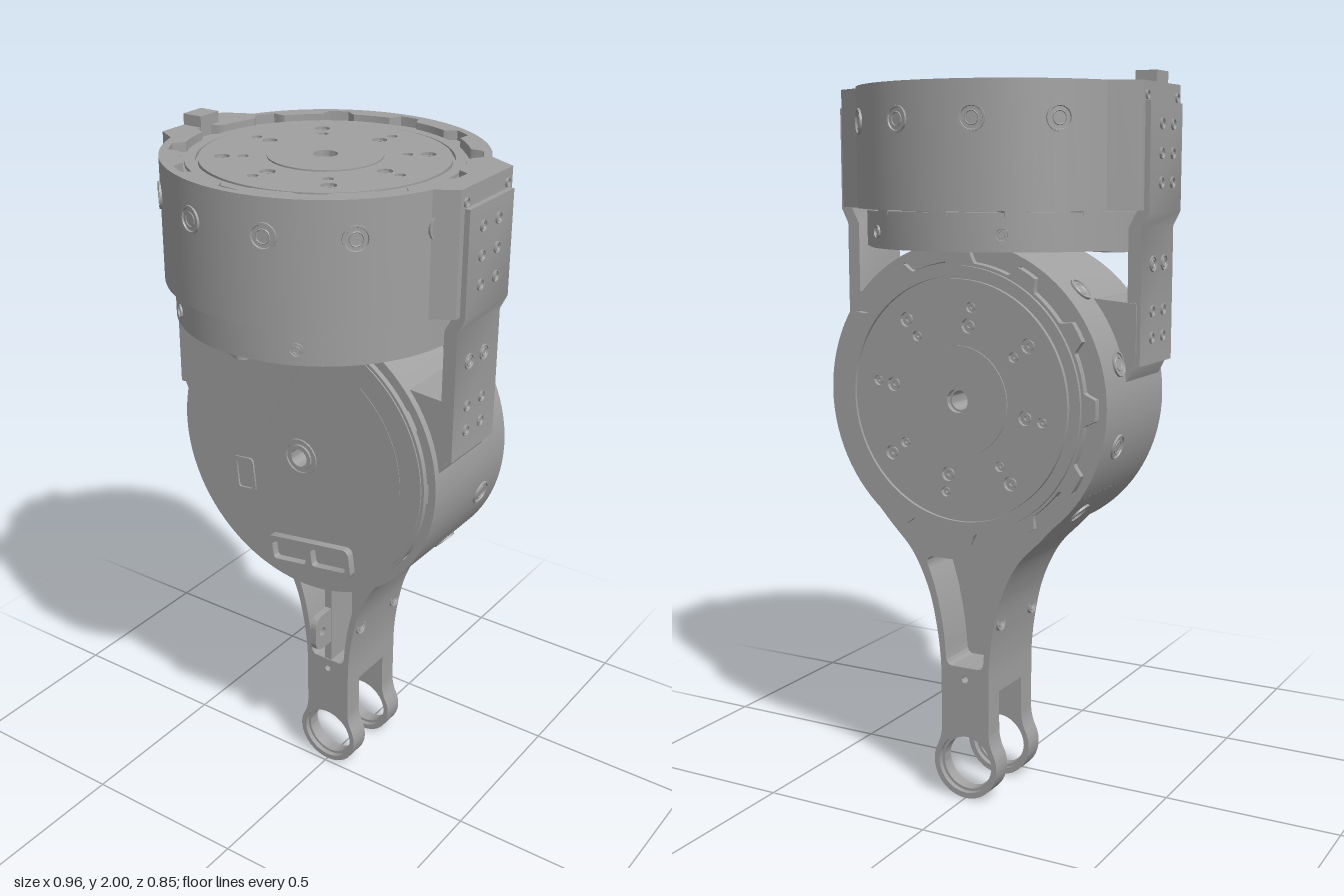
import * as THREE from 'three';
import { toCreasedNormals } from 'three/addons/utils/BufferGeometryUtils.js';

const metal = new THREE.MeshStandardMaterial({ color: 0xa0a0a0 });
metal.name = 'grey metal';

function add(parent, name, geometry, x = 0, y = 0, z = 0) {
  const mesh = new THREE.Mesh(geometry, metal);
  mesh.name = name;
  mesh.position.set(x, y, z);
  parent.add(mesh);
  return mesh;
}
const poly = (pts, s = 1) => new THREE.Shape(pts.map(([x, y]) => new THREE.Vector2(x * s, y)));
const circle = (r, x = 0, y = 0) => new THREE.Shape().absarc(x, y, r, 0, Math.PI * 2, false);
function ring(r, ...holes) {
  const s = circle(r);
  s.holes.push(...holes);
  return s;
}
// Extrusion between two z planes, smooth on curves and sharp on edges
function slab(shape, z0, z1, seg = 48) {
  const g = new THREE.ExtrudeGeometry(shape, { depth: z1 - z0, bevelEnabled: false, curveSegments: seg });
  g.translate(0, 0, z0);
  return toCreasedNormals(g, 0.5);
}
function roundRect(w, h, r, x = 0, y = 0) {
  const s = new THREE.Shape(), a = w / 2 - r, b = h / 2 - r;
  s.absarc(x + a, y + b, r, 0, Math.PI / 2);
  s.absarc(x - a, y + b, r, Math.PI / 2, Math.PI);
  s.absarc(x - a, y - b, r, Math.PI, Math.PI * 1.5);
  s.absarc(x + a, y - b, r, Math.PI * 1.5, Math.PI * 2);
  s.closePath();
  return s;
}
// Round rim with twelve lugs
function lugged(extra = 0) {
  const pts = [];
  for (let i = 0; i < 360; i++) {
    const d = Math.abs(((i + 15) % 30) - 15);
    const r = 0.368 + extra + 0.031 * THREE.MathUtils.clamp((6.5 - d) / 2.5, 0, 1);
    const a = THREE.MathUtils.degToRad(i);
    pts.push([r * Math.cos(a), r * Math.sin(a)]);
  }
  return poly(pts);
}
// Screw seat: a low collar with a sunken centre, pointing along dir
function screw(parent, r, pos, dir) {
  const pts = [[0, 0.001], [r * 0.45, 0.001], [r * 0.5, 0.003], [r * 0.55, 0.001], [r * 0.8, 0.001],
    [r * 0.85, 0.005], [r, 0.005], [r, -0.006]].map(p => new THREE.Vector2(...p)).reverse();
  const m = add(parent, 'screwSeat', toCreasedNormals(new THREE.LatheGeometry(pts, 20), 0.5), ...pos);
  m.quaternion.setFromUnitVectors(new THREE.Vector3(0, 1, 0), new THREE.Vector3(...dir).normalize());
}

// Motor: axis on z, cover towards +z, output face towards -z
function motor(name, coverTurn, back, front, screwZ) {
  const g = new THREE.Group();
  g.name = name;
  const hole = () => circle(0.026);
  const core = lugged();
  core.holes.push(hole());
  add(g, 'motorCore', slab(core, -0.285, 0.03));
  add(g, 'housing', slab(ring(0.424, lugged(0.003)), back, front));

  // Output flange with bolt holes
  const bolts = [];
  for (let i = 0; i < 8; i++) {
    const a = THREE.MathUtils.degToRad(81 - i * 45 + (i % 2));
    for (const [r, size] of i % 2 ? [[0.264, 0.02], [0.21, 0.014]] : [[0.205, 0.02], [0.255, 0.014]])
      bolts.push([r * Math.cos(a), -r * Math.sin(a), size]);
  }
  add(g, 'outputFlange', slab(ring(0.325, circle(0.15), ...bolts.map(([x, y, r]) => circle(r, x, y))), -0.297, -0.284));
  add(g, 'flangeRim', slab(ring(0.36, circle(0.332)), -0.295, -0.284));
  add(g, 'outputHub', slab(ring(0.15, circle(0.032)), -0.301, -0.284));
  for (const [x, y, r] of bolts)
    add(g, 'bolt', slab(ring(r * 0.65, circle(r * 0.3)), -0.292, -0.284, 8), x, y);

  // Cover with hub, raised sectors, window and connector
  const cover = new THREE.Group();
  cover.name = 'cover';
  cover.rotation.z = coverTurn;
  g.add(cover);
  add(cover, 'coverDisc', slab(ring(0.398, hole()), 0.02, 0.116));
  add(cover, 'coverFace', slab(ring(0.39, hole()), 0.11, 0.12));
  add(cover, 'coverHub', slab(ring(0.055, circle(0.045)), 0.118, 0.125));
  add(cover, 'hubCollar', slab(ring(0.038, hole()), 0.118, 0.127));
  for (const [p0, p1, a0, a1] of [[[0.03, 0.09], [-0.11, 0.07], 85, 137], [[0.17, -0.035], [0.08, 0.03], -5, 53]]) {
    const s = new THREE.Shape();
    s.moveTo(...p0);
    s.absarc(0, 0, 0.325, THREE.MathUtils.degToRad(a0), THREE.MathUtils.degToRad(a1), false);
    s.lineTo(...p1);
    add(cover, 'coverSector', slab(s, 0.119, 0.1215));
  }
  const win = roundRect(0.07, 0.105, 0.012);
  win.holes.push(roundRect(0.05, 0.085, 0.008));
  add(cover, 'coverWindow', slab(win, 0.118, 0.126, 6), -0.195, -0.11).rotation.z = 0.1;
  const plug = roundRect(0.285, 0.09, 0.02);
  plug.holes.push(roundRect(0.115, 0.055, 0.01, -0.068), roundRect(0.115, 0.055, 0.01, 0.068));
  add(cover, 'connector', slab(plug, 0.115, 0.143, 6), 0.04, -0.297).rotation.z = 0.14;

  // Screws round the housing
  for (const base of [90, 270, 0, 180]) for (const off of [-45, -15, 15]) {
    const a = THREE.MathUtils.degToRad(base + off), c = Math.cos(a), s = Math.sin(a);
    screw(g, 0.035, [0.424 * c, 0.424 * s, screwZ], [c, s, 0]);
  }
  return g;
}

export function createModel() {
  const model = new THREE.Group();
  model.name = 'robotLegJoint';

  // Upper motor, axis vertical
  const upper = motor('upperMotor', THREE.MathUtils.degToRad(195), -0.31, 0.015, -0.215);
  upper.rotation.x = Math.PI / 2;
  upper.position.y = 1.66;
  model.add(upper);
  for (const a of [-115, -55, 65, 125, 0, 180]) {
    const t = THREE.MathUtils.degToRad(a), c = Math.cos(t), s = Math.sin(t);
    screw(upper, 0.018, [0.398 * c, 0.398 * s, 0.075], [c, s, 0]);
  }
  // Lower motor, axis front to back
  const lower = motor('lowerMotor', 0, -0.27, 0.1, -0.17);
  lower.position.y = 1.14;
  model.add(lower);

  for (const s of [-1, 1]) {
    // Flat mounting pads on both housings
    add(upper, 'upperPad', slab(poly([[0.38, -0.19], [0.40, -0.18], [0.46, -0.15], [0.46, 0.10],
      [0.40, 0.135], [0.403, 0.12], [0.403, -0.13]], s), -0.31, 0.015));
    add(lower, 'lowerPad', slab(poly([[0.32, 0.275], [0.445, 0.265], [0.445, 0.11], [0.415, 0.05], [0.38, 0.05]], s), -0.14, 0.08));
    // Side bracket joining the two motors
    add(model, 'sideBracket', slab(poly([[0.455, 1.24], [0.455, 1.6], [0.475, 1.64], [0.475, 1.92], [0.445, 1.92],
      [0.445, 1.65], [0.418, 1.6], [0.418, 1.24]], s), -0.135, 0.08));
    for (const z of [0.015, -0.06]) {
      for (const y of [1.865, 1.79, 1.715]) screw(model, 0.015, [s * 0.475, y, z], [s, 0, 0]);
      for (const [y, r] of [[1.505, 0.021], [1.38, 0.015], [1.31, 0.015]]) screw(model, r, [s * 0.455, y, z], [s, 0, 0]);
    }
    for (const z of [0.075, -0.125]) screw(model, 0.012, [s * 0.46, 1.935, z], [s, 0, 0]);
    for (const z of [-0.05, -0.235]) screw(model, 0.022, [s * 0.093, 0.52, z], [s, 0.12, 0]);
  }
  add(model, 'topStop', new THREE.BoxGeometry(0.06, 0.06, 0.075), -0.43, 1.97, -0.025);

  // Leg: flared upper part with an open pocket
  const leg = new THREE.Shape();
  leg.moveTo(0.075, 0.31);
  leg.splineThru([[0.077, 0.4], [0.09, 0.5], [0.115, 0.6], [0.165, 0.7], [0.24, 0.78], [0.35, 0.9]].map(p => new THREE.Vector2(...p)));
  leg.lineTo(-0.35, 0.9);
  leg.splineThru([[-0.24, 0.78], [-0.165, 0.7], [-0.115, 0.6], [-0.09, 0.5], [-0.077, 0.4], [-0.075, 0.31]].map(p => new THREE.Vector2(...p)));
  const pocket = new THREE.Shape();
  pocket.moveTo(0.04, 0.385);
  pocket.quadraticCurveTo(0.058, 0.385, 0.06, 0.41);
  pocket.quadraticCurveTo(0.07, 0.56, 0.118, 0.67);
  pocket.quadraticCurveTo(0.12, 0.69, 0.1, 0.692);
  pocket.lineTo(-0.1, 0.692);
  pocket.quadraticCurveTo(-0.12, 0.69, -0.118, 0.67);
  pocket.quadraticCurveTo(-0.07, 0.56, -0.06, 0.41);
  pocket.quadraticCurveTo(-0.058, 0.385, -0.04, 0.385);
  leg.holes.push(pocket, circle(0.01, 0, 0.35));
  add(model, 'legBody', slab(leg, -0.27, -0.012, 16));
  add(model, 'legWeb', slab(poly([[-0.06, 0.38], [0.06, 0.38], [0.085, 0.58], [0.12, 0.7], [-0.12, 0.7], [-0.085, 0.58]]), -0.15, -0.125));
  add(model, 'legRib', new THREE.BoxGeometry(0.024, 0.32, 0.12), 0, 0.54, -0.075);

  // Tab with a hole standing forward from the rib
  const tab = roundRect(0.12, 0.12, 0.035);
  tab.holes.push(circle(0.014, -0.025, 0));
  const tabMesh = add(model, 'cableTab', slab(tab, -0.01, 0.01, 10), 0, 0.512, 0.003);
  tabMesh.rotation.y = Math.PI / 2;

  // Fork prongs with bearing eyes
  for (const [z0, z1] of [[-0.075, -0.012], [-0.27, -0.207]]) {
    const prong = new THREE.Shape();
    prong.moveTo(0.075, 0.312);
    prong.lineTo(0.075, 0.2);
    prong.quadraticCurveTo(0.076, 0.175, 0.087, 0.15);
    prong.absarc(0, 0.1, 0.1, Math.PI / 6, -Math.PI * 7 / 6, true);
    prong.quadraticCurveTo(-0.076, 0.175, -0.075, 0.2);
    prong.lineTo(-0.075, 0.312);
    prong.holes.push(circle(0.084, 0, 0.1));
    add(model, 'forkProng', slab(prong, z0, z1, 32));
    add(model, 'bearingLip', slab(ring(0.086, circle(0.076)), z0 + 0.015, z1 - 0.015), 0, 0.1);
  }
  return model;
}
